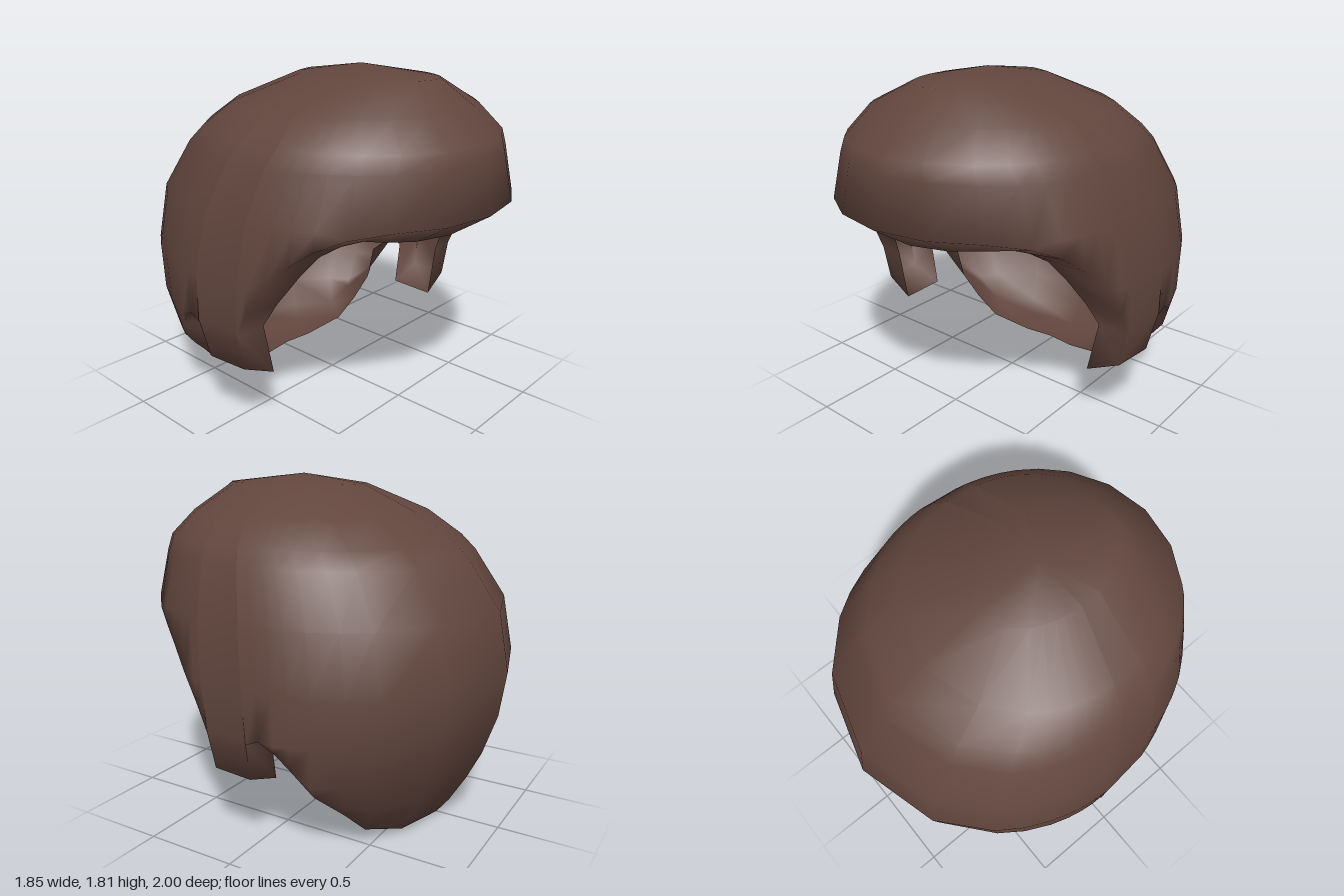
import * as THREE from 'three';

// Horizontal slices of the hair shell: [y, front z, back z, half width]
const SLICES = [
  [1.81, 0.2, 0.2, 0], [1.76, 0.65, -0.17, 0.27], [1.62, 0.80, -0.49, 0.62],
  [1.49, 0.94, -0.69, 0.735], [1.41, 0.955, -0.77, 0.79], [1.16, 1.0, -0.945, 0.885],
  [0.86, 0.98, -1.0, 0.925], [0.62, 0.92, -0.965, 0.92], [0.4, 0.87, -0.89, 0.87],
  [0.24, 0.75, -0.81, 0.74], [0.09, 0.65, -0.72, 0.68], [0, 0.6, -0.65, 0.58],
];

// Hem from the middle of the fringe to the nape, left half:
// [outer z, outer y, inner x, inner y, inner z]
const HEM = [
  // fringe
  [1.0, 1.16, 0, 1.015, 0.78], [0.95, 1.16, 0.23, 1.035, 0.75], [0.82, 1.16, 0.4, 1.06, 0.69],
  [0.68, 1.13, 0.49, 1.078, 0.64], [0.56, 1.07, 0.555, 1.05, 0.56],
  // temple
  [0.46, 0.99, 0.6, 0.99, 0.47], [0.36, 0.88, 0.64, 0.88, 0.38], [0.26, 0.73, 0.69, 0.72, 0.27],
  // sideburn
  [0.2, 0.6, 0.73, 0.6, 0.21], [0.19, 0.4, 0.67, 0.32, 0.21],
  [-0.04, 0.4, 0.67, 0.33, -0.05], [-0.055, 0.6, 0.72, 0.57, -0.06],
  // ear notch
  [-0.125, 0.63, 0.72, 0.59, -0.125], [-0.2, 0.58, 0.71, 0.545, -0.2], [-0.26, 0.5, 0.68, 0.5, -0.25],
  // nape
  [-0.33, 0.33, 0.6, 0.33, -0.23], [-0.42, 0.2, 0.5, 0.2, -0.26], [-0.48, 0.09, 0.38, 0.09, -0.29],
  [-0.58, 0.015, 0.17, 0.02, -0.37], [-0.65, 0, 0, 0.02, -0.39],
];

// Slice at any height: centre z, half depth, half width
function sliceAt(y) {
  let k = 0;
  while (k < SLICES.length - 2 && SLICES[k + 1][0] > y) k++;
  const a = SLICES[k], b = SLICES[k + 1];
  const t = (a[0] - y) / (a[0] - b[0]);
  const [front, back, width] = [1, 2, 3].map((n) => a[n] + (b[n] - a[n]) * t);
  return { centre: (front + back) / 2, depth: (front - back) / 2, width };
}

function hairGeometry() {
  const positions = [0, SLICES[0][0], SLICES[0][1]]; // crown
  const index = [];
  const add = (x, y, z) => positions.push(x, y, z) / 3 - 1;

  // One column runs from the crown down to the hem, then folds inward
  function column([hemZ, hemY, ix, iy, iz], side) {
    const s = sliceAt(hemY);
    const cos = THREE.MathUtils.clamp((hemZ - s.centre) / s.depth, -1, 1);
    const sin = Math.sqrt(1 - cos * cos) * side;
    const shell = (y) => {
      const q = sliceAt(y);
      return add(q.width * sin, y, q.centre + q.depth * cos);
    };
    const ids = [0];
    let hem = -1;
    for (const [y] of SLICES.slice(1)) {
      if (y > hemY + 0.03) ids.push(shell(y));
      else {
        if (hem < 0) hem = shell(hemY);
        ids.push(hem);
      }
    }
    ids.push(add(ix * side, iy, iz));
    return ids;
  }

  const columns = HEM.map((h) => column(h, 1));
  for (let i = HEM.length - 2; i > 0; i--) columns.push(column(HEM[i], -1));

  const face = (a, b, c) => {
    if (a !== b && b !== c && a !== c) index.push(a, b, c);
  };
  columns.forEach((p, i) => {
    const q = columns[(i + 1) % columns.length];
    for (let j = 0; j < p.length - 1; j++) {
      face(p[j], p[j + 1], q[j]);
      face(p[j + 1], q[j + 1], q[j]);
    }
  });

  const geometry = new THREE.BufferGeometry();
  geometry.setAttribute('position', new THREE.Float32BufferAttribute(positions, 3));
  geometry.setIndex(index);
  geometry.computeVertexNormals();
  return geometry;
}

export function createModel() {
  const brown = new THREE.MeshStandardMaterial({ color: 0x62463e, side: THREE.DoubleSide });
  brown.name = 'brown hair';
  const hair = new THREE.Mesh(hairGeometry(), brown);
  hair.name = 'hair';
  const model = new THREE.Group();
  model.name = 'hairpiece';
  model.add(hair);
  return model;
}
